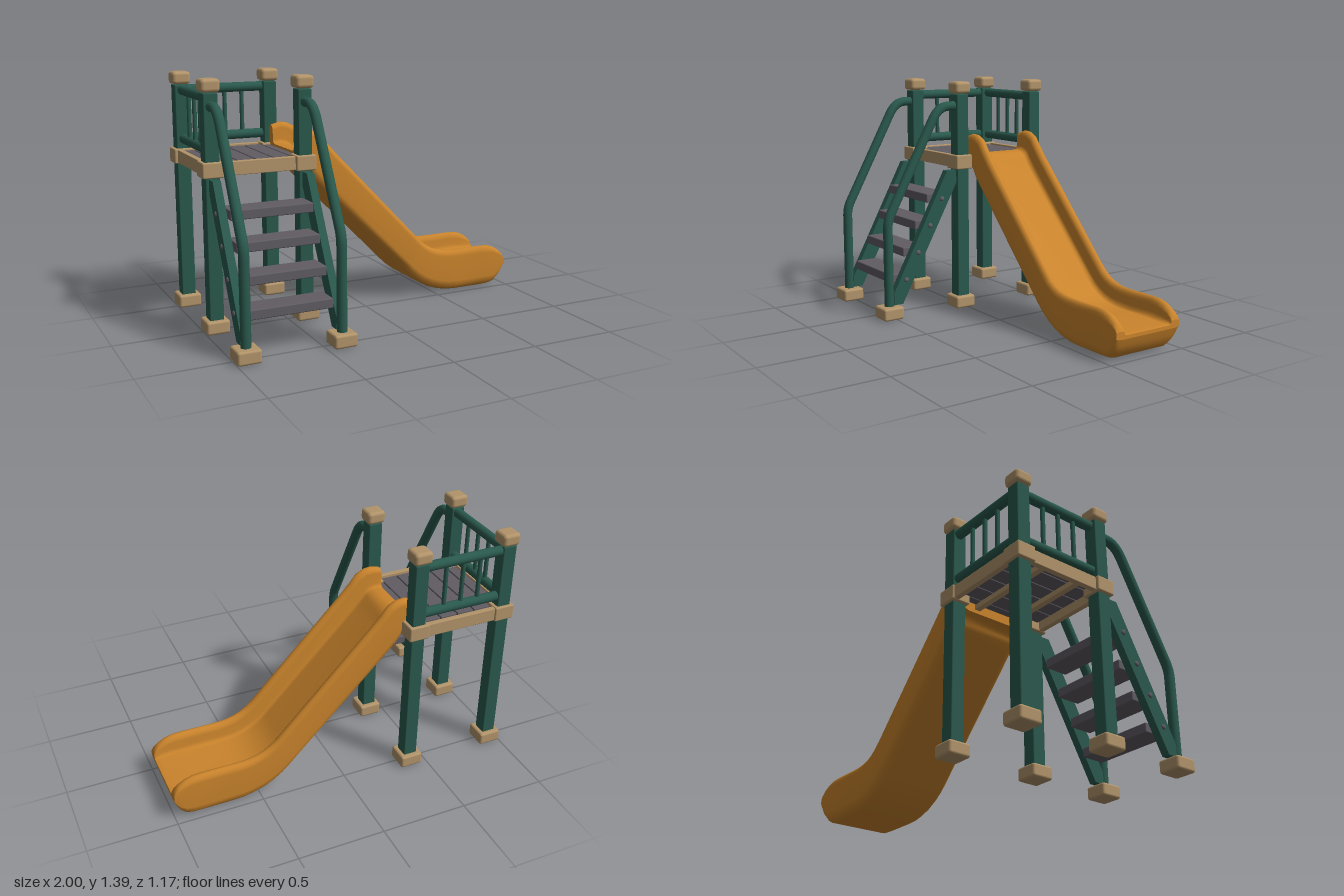
import * as THREE from 'three';
import { RoundedBoxGeometry } from 'three/addons/geometries/RoundedBoxGeometry.js';

const paint = (name, color) => {
  const m = new THREE.MeshStandardMaterial({ color });
  m.name = name;
  return m;
};

export function createModel() {
  const green = paint('green', 0x2a594d);
  const tan = paint('tan', 0xb2946a);
  const grey = paint('grey', 0x605c63);
  const orange = paint('orange', 0xca842c);

  const root = new THREE.Group();
  root.name = 'playgroundSlide';
  const add = (name, geo, mat, x = 0, y = 0, z = 0) => {
    const m = new THREE.Mesh(geo, mat);
    m.name = name;
    m.position.set(x, y, z);
    root.add(m);
    return m;
  };
  const box = (name, mat, w, h, d, x, y, z, r = 0.008) =>
    add(name, new RoundedBoxGeometry(w, h, d, 2, r), mat, x, y, z);
  const rod = (name, mat, a, b, r) => {
    const path = new THREE.LineCurve3(new THREE.Vector3(...a), new THREE.Vector3(...b));
    return add(name, new THREE.TubeGeometry(path, 1, r, 16), mat);
  };

  const postX = [-0.935, -0.4], postZ = [0.02, -0.515];
  const midX = -0.6675, midZ = -0.2475;

  // Posts with feet, collars and caps
  for (const x of postX) {
    for (const z of postZ) {
      box('post', green, 0.08, 1.26, 0.08, x, 0.685, z, 0.006);
      box('postFoot', tan, 0.132, 0.075, 0.132, x, 0.0375, z, 0.014);
      box('postCollar', tan, 0.118, 0.086, 0.112, x, 0.907, z, 0.008);
      box('postCap', tan, 0.106, 0.072, 0.106, x, 1.354, z, 0.02);
    }
  }

  // Platform frame, joists and planks
  for (const z of [0.04, -0.545]) box('frameBeam', tan, 0.46, 0.076, 0.032, midX, 0.907, z, 0.004);
  for (const x of [-0.96, -0.377]) box('frameBeam', tan, 0.032, 0.076, 0.46, x, 0.907, midZ, 0.004);
  for (const z of [-0.135, -0.37]) box('joist', tan, 0.55, 0.03, 0.035, midX, 0.895, z, 0.003);
  for (let i = 0; i < 4; i++) box('plank', grey, 0.099, 0.028, 0.52, -0.825 + i * 0.105, 0.924, midZ, 0.005);
  box('edgePlank', grey, 0.062, 0.028, 0.45, -0.912, 0.924, midZ, 0.005);
  box('edgePlank', grey, 0.046, 0.028, 0.45, -0.433, 0.924, midZ, 0.005);

  // Guard rails on the back and the outer side
  for (const y of [1.005, 1.285]) {
    rod('backRail', green, [-0.92, y, -0.522], [-0.41, y, -0.522], 0.028);
    rod('sideRail', green, [-0.932, y, -0.01], [-0.932, y, -0.5], 0.028);
  }
  for (const o of [-0.105, 0, 0.105]) {
    rod('backBaluster', green, [midX + o, 1.005, -0.522], [midX + o, 1.285, -0.522], 0.0125);
    rod('sideBaluster', green, [-0.932, 1.005, midZ + o], [-0.932, 1.285, midZ + o], 0.0125);
  }

  // Ladder stringer outline, drawn in z and y
  const stringer = new THREE.Shape([
    [0.5, 0.08], [0.5, 0.15], [0.125, 0.858], [0.055, 0.858], [0.055, 0.79], [0.44, 0.08],
  ].map(([z, y]) => new THREE.Vector2(-z, y)));
  const stringerGeo = new THREE.ExtrudeGeometry(stringer, { depth: 0.045, bevelEnabled: false });
  stringerGeo.rotateY(Math.PI / 2);
  const steps = [0, 1, 2, 3].map(i => [0.225 + i * 0.1555, 0.415 - i * 0.084]);

  for (const x of postX) {
    const side = x < midX ? -1 : 1;
    add('stringer', stringerGeo, green, x - 0.0225);
    box('ladderFoot', tan, 0.132, 0.075, 0.132, x, 0.0375, 0.52, 0.014);
    for (const [y, z] of steps) {
      const bolt = add('bolt', new THREE.SphereGeometry(0.015, 16, 10), grey, x + side * 0.023, y, z);
      bolt.scale.x = 0.6;
    }

    // Handrail: straight runs joined by rounded bends
    const p = (y, z) => new THREE.Vector3(x, y, z);
    const path = new THREE.CurvePath();
    path.add(new THREE.LineCurve3(p(0.07, 0.522), p(0.54, 0.522)));
    path.add(new THREE.QuadraticBezierCurve3(p(0.54, 0.522), p(0.59, 0.522), p(0.63, 0.5)));
    path.add(new THREE.LineCurve3(p(0.63, 0.5), p(1.165, 0.211)));
    path.add(new THREE.QuadraticBezierCurve3(p(1.165, 0.211), p(1.245, 0.168), p(1.245, 0.1)));
    path.add(new THREE.LineCurve3(p(1.245, 0.1), p(1.245, 0.03)));
    add('handrail', new THREE.TubeGeometry(path, 90, 0.028, 16), green);
  }
  for (const [y, z] of steps) box('step', grey, 0.47, 0.054, 0.146, midX, y, z, 0.006);

  add('slide', slideGeometry(), orange, 0, 0, -0.252);
  return root;
}

// Solid channel: a U section carried along stations from the platform to the exit
function slideGeometry() {
  // underside x, y; rim x, y; floor height as a share of the section
  const stations = [
    [-0.41, 0.86, -0.41, 1.06, 0.45], [-0.365, 0.86, -0.36, 1.074, 0.43],
    [-0.345, 0.84, -0.315, 1.07, 0.45], [-0.337, 0.82, -0.265, 1.045, 0.47],
    [-0.325, 0.8, -0.228, 0.998, 0.47], [-0.29, 0.762, -0.16, 0.922, 0.47],
    [0.27, 0.195, 0.385, 0.358, 0.47], [0.315, 0.148, 0.425, 0.322, 0.48],
    [0.36, 0.106, 0.465, 0.296, 0.5], [0.41, 0.07, 0.505, 0.278, 0.52],
    [0.465, 0.04, 0.55, 0.267, 0.54], [0.53, 0.018, 0.59, 0.262, 0.56],
    [0.595, 0.004, 0.63, 0.26, 0.575], [0.66, 0, 0.68, 0.26, 0.58],
    [0.85, 0, 0.83, 0.262, 0.58], [0.9, 0.002, 0.88, 0.259, 0.58],
    [0.935, 0.012, 0.925, 0.246, 0.59], [0.965, 0.045, 0.965, 0.222, 0.59],
    [0.985, 0.085, 0.988, 0.198, 0.56], [1, 0.125, 1, 0.17, 0.45],
  ];
  // half section: offset from the middle and height share
  const section = f => {
    const half = [
      [0.175, 0], [0.198, 0.04], [0.215, 0.12], [0.222, 0.24], [0.222, 0.84], [0.218, 0.92],
      [0.207, 0.98], [0.195, 1], [0.18, 0.98], [0.169, 0.92], [0.165, 0.85],
      [0.163, f + 0.12], [0.156, f + 0.035], [0.138, f],
    ];
    return [...half, ...half.map(([w, t]) => [-w, t]).reverse()];
  };

  const pos = [], index = [];
  const ring = ([bx, by, tx, ty, f]) => {
    for (const [w, t] of section(f)) pos.push(bx + (tx - bx) * t, by + (ty - by) * t, -w);
  };
  stations.forEach(ring);
  const n = section(0.5).length;
  for (let i = 0; i < stations.length - 1; i++) {
    for (let j = 0; j < n; j++) {
      const a = i * n + j, b = i * n + (j + 1) % n;
      index.push(a, b, a + n, b, b + n, a + n);
    }
  }
  // End faces
  for (const [s, flip] of [[stations[0], true], [stations[stations.length - 1], false]]) {
    const base = pos.length / 3;
    ring(s);
    const outline = section(s[4]).map(([w, t]) => new THREE.Vector2(w, t));
    for (const [a, b, c] of THREE.ShapeUtils.triangulateShape(outline, [])) {
      if (flip) index.push(base + c, base + b, base + a);
      else index.push(base + a, base + b, base + c);
    }
  }
  const geo = new THREE.BufferGeometry();
  geo.setAttribute('position', new THREE.Float32BufferAttribute(pos, 3));
  geo.setIndex(index);
  geo.computeVertexNormals();
  return geo;
}
